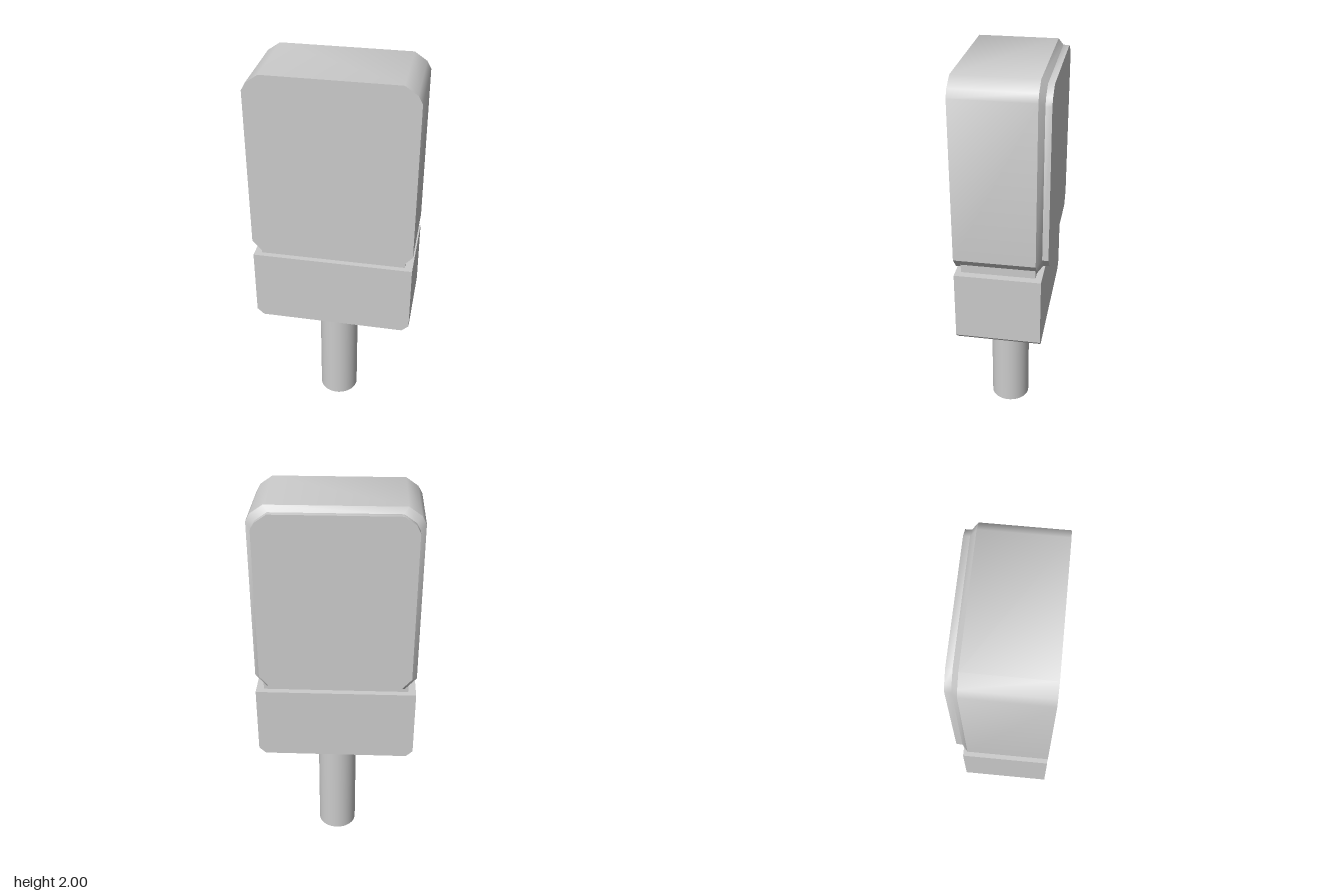
import * as THREE from 'three';
import { toCreasedNormals } from 'three/addons/utils/BufferGeometryUtils.js';

const material = new THREE.MeshStandardMaterial({ color: 0xcccccc });

function add(group, name, geometry, x = 0, y = 0, z = 0) {
  const mesh = new THREE.Mesh(geometry, material);
  mesh.name = name;
  mesh.position.set(x, y, z);
  group.add(mesh);
}

// Closed outline mirrored about x = 0, from right-hand points listed bottom to top
function mirroredShape(half) {
  const left = half.map(([x, y]) => [-x, y]).reverse();
  return new THREE.Shape([...half, ...left].map(([x, y]) => new THREE.Vector2(x, y)));
}

// Head: clipped corners, with a chamfer and a raised panel at the back
function headGeometry() {
  const shape = mirroredShape([
    [0.35, 1.04], [0.407, 1.105], [0.407, 1.92], [0.386, 1.958], [0.325, 2],
  ]);
  const geometry = new THREE.ExtrudeGeometry(shape, { depth: 3, steps: 3, bevelEnabled: false });
  const levels = [
    { z: -0.23, sx: 0.934, sy: 0.943 },
    { z: -0.2, sx: 0.934, sy: 0.943 },
    { z: -0.173, sx: 1, sy: 1 },
    { z: 0.23, sx: 1, sy: 1 },
  ];
  const pos = geometry.attributes.position;
  for (let i = 0; i < pos.count; i++) {
    const { z, sx, sy } = levels[Math.round(pos.getZ(i))];
    const centre = sy === 1 ? 1.52 : 1.5225;
    pos.setXYZ(i, pos.getX(i) * sx, centre + (pos.getY(i) - 1.52) * sy, z);
  }
  geometry.computeVertexNormals();
  return toCreasedNormals(geometry, THREE.MathUtils.degToRad(35));
}

export function createModel() {
  const group = new THREE.Group();
  group.name = 'plugModule';

  add(group, 'head', headGeometry());

  // Recessed neck between head and base
  add(group, 'neck', new THREE.BoxGeometry(0.736, 0.05, 0.37), 0, 1.035, 0.017);

  // Base block with chamfered lower side edges
  const baseShape = mirroredShape([[0.372, 0.63], [0.407, 0.663], [0.407, 1.018]]);
  const base = new THREE.ExtrudeGeometry(baseShape, { depth: 0.43, bevelEnabled: false });
  add(group, 'base', base, 0, 0, -0.2);

  // Collar and round stem
  add(group, 'collar', new THREE.CylinderGeometry(0.153, 0.153, 0.03, 48), 0, 0.617, 0.018);
  add(group, 'stem', new THREE.CylinderGeometry(0.104, 0.104, 0.61, 48), 0, 0.305, 0.018);

  return group;
}
